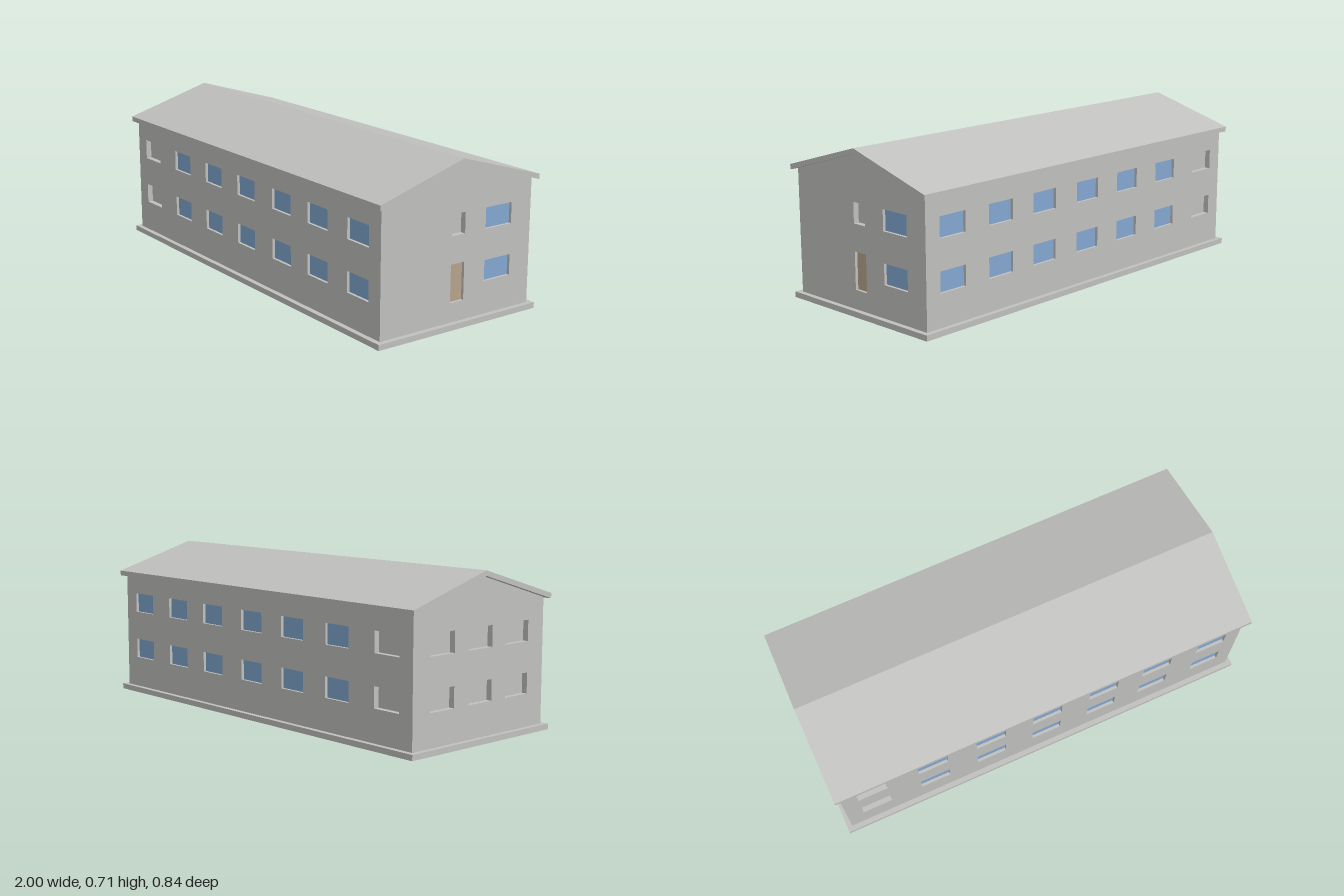
import * as THREE from 'three';

const grey = new THREE.MeshStandardMaterial({ name: 'grey plaster', color: 0xc0c0be });
const blue = new THREE.MeshStandardMaterial({ name: 'blue glass', color: 0x82a7d0 });
const brown = new THREE.MeshStandardMaterial({ name: 'brown door', color: 0xb6a48b });

const HALF_X = 0.977, HALF_Z = 0.396;   // outer wall faces
const EDGE_Z = 0.419;                   // plinth and eave edge
const WALL = 0.048;
const PLINTH = 0.025, EAVE = 0.573, GABLE = 0.692;
const ROWS = [0.214, 0.439];            // window centre heights

function polygon(points, Type = THREE.Shape) {
  return new Type(points.map(([x, y]) => new THREE.Vector2(x, y)));
}

function rectangle(x, y, w, h, Type) {
  return polygon([[x - w / 2, y - h / 2], [x + w / 2, y - h / 2],
    [x + w / 2, y + h / 2], [x - w / 2, y + h / 2]], Type);
}

function extrude(shape, depth) {
  return new THREE.ExtrudeGeometry(shape, { depth, bevelEnabled: false });
}

function addMesh(parent, name, geometry, material) {
  const mesh = new THREE.Mesh(geometry, material);
  mesh.name = name;
  parent.add(mesh);
  return mesh;
}

// A wall facing local +z, with an opening and a recessed panel for each entry
function makeWall(name, outline, openings, distance, angle) {
  const wall = new THREE.Group();
  wall.name = name;
  const shape = polygon(outline);
  for (const o of openings) {
    shape.holes.push(rectangle(o.x, o.y, o.w, o.h, THREE.Path));
    // Blank windows sit deeper than glass and door
    const recess = o.material === grey ? 0.026 : 0.013;
    const panel = addMesh(wall, o.name, new THREE.BoxGeometry(o.w, o.h, 0.008), o.material);
    panel.position.set(o.x, o.y, distance - recess - 0.004);
  }
  addMesh(wall, name + 'Shell', extrude(shape, WALL), grey).position.z = distance - WALL;
  wall.rotation.y = angle;
  return wall;
}

function windowAt(x, y, material, w = 0.141) {
  return { name: material === blue ? 'windowGlass' : 'blankWindow', x, y, w, h: 0.091, material };
}

export function createModel() {
  const building = new THREE.Group();
  building.name = 'building';

  // Plinth ring, open underneath
  const ring = rectangle(0, 0, 2, 2 * EDGE_Z);
  ring.holes.push(rectangle(0, 0, 2 * (HALF_X - WALL), 2 * (HALF_Z - WALL), THREE.Path));
  addMesh(building, 'plinth', extrude(ring, PLINTH).rotateX(-Math.PI / 2), grey);

  // Ground floor slab, raised inside the walls up to the door sill
  addMesh(building, 'floorSlab',
    new THREE.BoxGeometry(2 * (HALF_X - WALL), 0.04, 2 * (HALF_Z - WALL)), grey).position.y = 0.09;

  // Long walls: seven columns of windows, the one at the -x end is blank
  const columns = [-0.834, -0.544, -0.263, 0.012, 0.291, 0.557, 0.831];
  const end = HALF_X - WALL;
  const longOutline = [[-end, PLINTH], [end, PLINTH], [end, EAVE], [-end, EAVE]];
  for (const [name, sign, angle] of [['frontWall', 1, 0], ['backWall', -1, Math.PI]]) {
    const openings = ROWS.flatMap(y =>
      columns.map((x, i) => windowAt(sign * x, y, i === 0 ? grey : blue)));
    building.add(makeWall(name, longOutline, openings, HALF_Z, angle));
  }

  // Gable walls
  const gable = [[-HALF_Z, PLINTH], [HALF_Z, PLINTH], [HALF_Z, EAVE], [0, GABLE], [-HALF_Z, EAVE]];
  const doorSide = [
    ...ROWS.map(y => windowAt(0.217, y, blue)),
    windowAt(0, ROWS[1], grey, 0.071),
    { name: 'door', x: 0, y: 0.192, w: 0.071, h: 0.165, material: brown },
  ];
  building.add(makeWall('doorGableWall', gable, doorSide, HALF_X, Math.PI / 2));
  const blankSide = ROWS.flatMap(y => [-0.228, 0, 0.228].map(x => windowAt(x, y, grey)));
  building.add(makeWall('blankGableWall', gable, blankSide, HALF_X, -Math.PI / 2));

  // Pitched roof slab with vertical eave edges
  const chevron = polygon([[-EDGE_Z, 0.567], [0, GABLE], [EDGE_Z, 0.567],
    [EDGE_Z, 0.59], [0, 0.715], [-EDGE_Z, 0.59]]);
  addMesh(building, 'roof', extrude(chevron, 2).translate(0, 0, -1).rotateY(Math.PI / 2), grey);

  return building;
}
